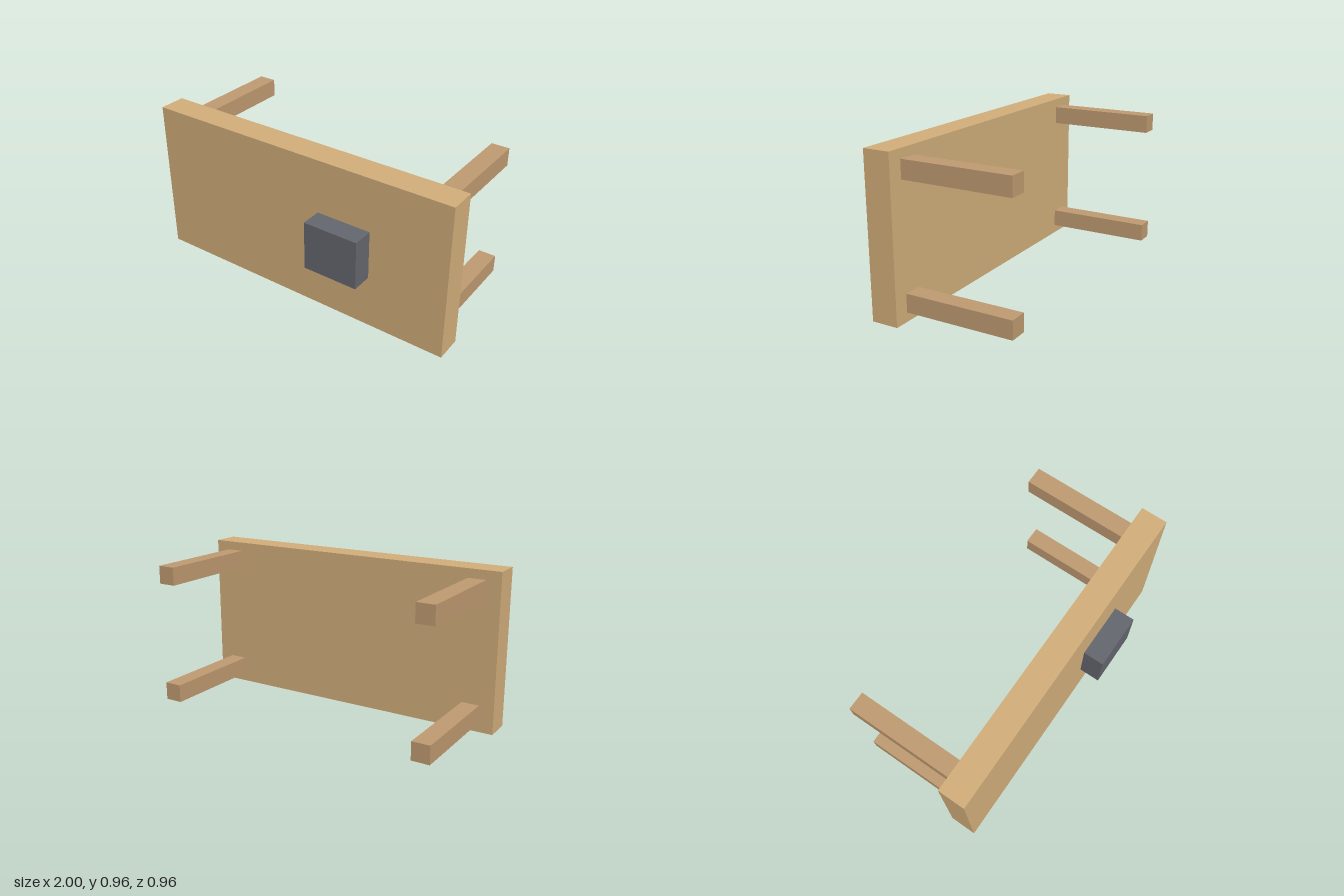
import * as THREE from 'three';

const material = (color) => new THREE.MeshStandardMaterial({ color });

// Box given by its [min, max] extent along each axis
function block(name, [x0, x1], [y0, y1], [z0, z1], mat) {
  const mesh = new THREE.Mesh(new THREE.BoxGeometry(x1 - x0, y1 - y0, z1 - z0), mat);
  mesh.position.set((x0 + x1) / 2, (y0 + y1) / 2, (z0 + z1) / 2);
  mesh.name = name;
  return mesh;
}

export function createModel() {
  const model = new THREE.Group();
  model.name = 'tableOnItsSide';

  const height = 0.965, back = 0.185, front = 0.35;

  // Table top, standing upright
  model.add(block('tableTop', [-1, 1], [0, height], [back, front], material(0xd4b07c)));

  // Four square legs pointing backwards
  const legMaterial = material(0xc19c72);
  const leg = 0.11, inset = 0.855;
  for (const x of [-inset, inset]) {
    for (const y of [0.11, height - 0.11]) {
      model.add(block('leg', [x - leg / 2, x + leg / 2], [y - leg / 2, y + leg / 2], [-0.479, back], legMaterial));
    }
  }

  // Dark box on the table's surface
  model.add(block('boxOnTable', [0.17, 0.514], [0.332, 0.635], [front, 0.479], material(0x666870)));

  return model;
}
